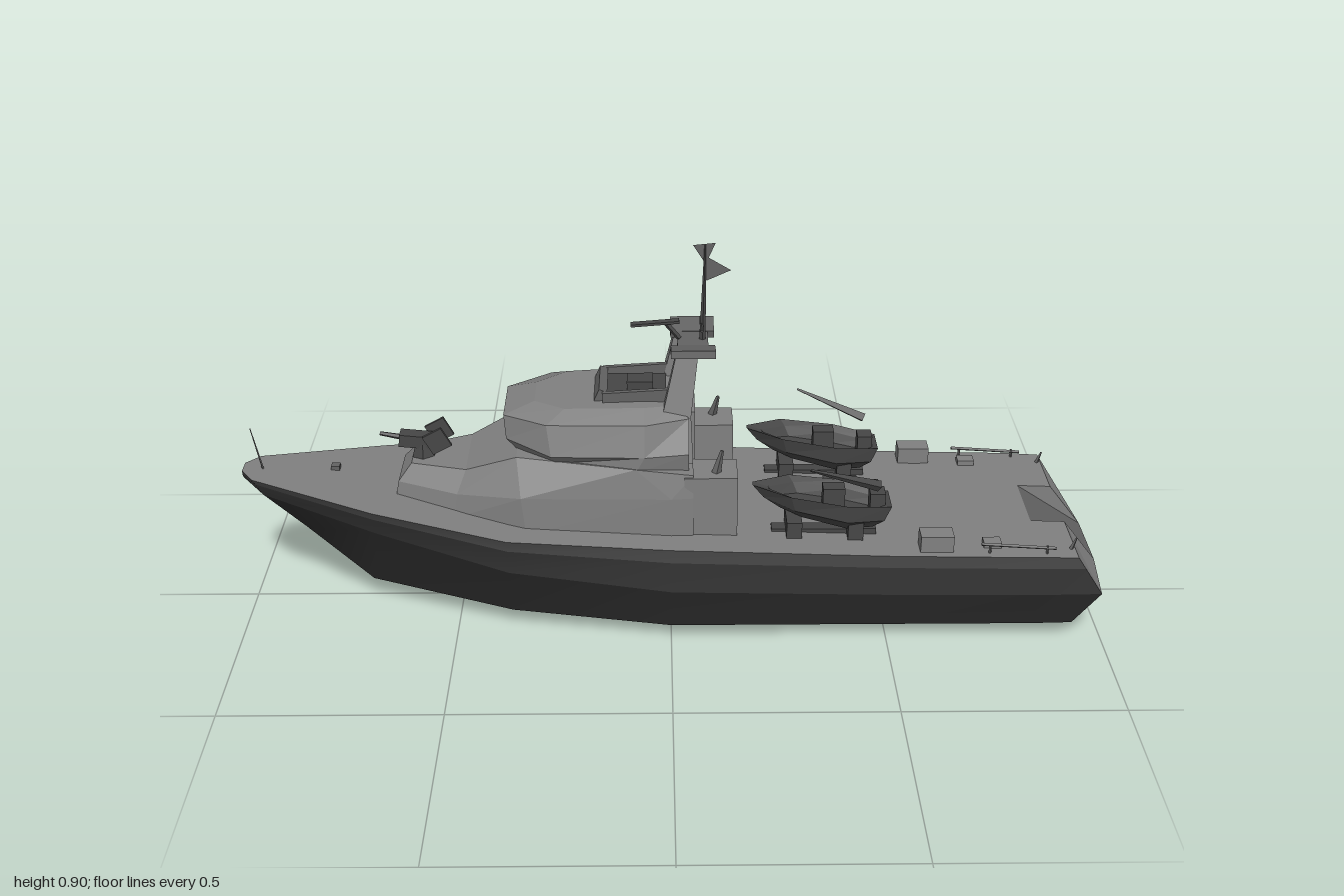
import * as THREE from 'three';
import { toCreasedNormals } from 'three/addons/utils/BufferGeometryUtils.js';

const paint = (color, flatShading = true) =>
  new THREE.MeshStandardMaterial({ color, flatShading, side: THREE.DoubleSide });
const grey = paint(0x808080), mid = paint(0x636363), dark = paint(0x464646), black = paint(0x2c2c2c);

// Polygons given as lists of corners
function faces(list) {
  const pos = [];
  for (const f of list)
    for (let i = 1; i < f.length - 1; i++) pos.push(...f[0], ...f[i], ...f[i + 1]);
  const g = new THREE.BufferGeometry();
  g.setAttribute('position', new THREE.Float32BufferAttribute(pos, 3));
  g.computeVertexNormals();
  return g;
}

const flip = ([x, y, z]) => [x, y, -z];
const mirrored = list => [...list, ...list.map(f => f.map(flip).reverse())];

// Skin between mirrored outlines, each a half outline from bow to stern
function skin(lines, { cap = true, aft = true } = {}) {
  const out = [];
  for (let k = 0; k < lines.length - 1; k++) {
    const a = lines[k], b = lines[k + 1], e = a.length - 1;
    for (let i = 0; i < e; i++) out.push(...mirrored([[a[i], a[i + 1], b[i + 1], b[i]]]));
    out.push([flip(a[0]), a[0], b[0], flip(b[0])]);
    if (aft) out.push([a[e], flip(a[e]), flip(b[e]), b[e]]);
  }
  const t = lines[lines.length - 1];
  if (cap) for (let i = 0; i < t.length - 1; i++) out.push([t[i], t[i + 1], flip(t[i + 1]), flip(t[i])]);
  return out;
}

export function createModel() {
  const root = new THREE.Group();
  const add = (name, geo, mat = grey, parent = root) => {
    const m = new THREE.Mesh(geo, mat);
    m.name = name;
    parent.add(m);
    return m;
  };
  const box = (name, w, h, d, x, y, z, mat, parent) => {
    const m = add(name, new THREE.BoxGeometry(w, h, d), mat, parent);
    m.position.set(x, y, z);
    return m;
  };
  // Tapered bar between two points
  const strut = (name, a, b, r0, r1, mat, sides = 4, parent = root) => {
    const p = new THREE.Vector3(...a), d = new THREE.Vector3(...b).sub(p);
    const m = add(name, new THREE.CylinderGeometry(r1, r0, d.length(), sides), mat, parent);
    m.position.copy(p).addScaledVector(d, 0.5);
    m.quaternion.setFromUnitVectors(new THREE.Vector3(0, 1, 0), d.normalize());
    return m;
  };

  // Hull, described by its lengthwise lines
  const keel = [[-1, .325, 0], [-.86, .2, 0], [-.72, .06, 0], [-.37, .03, 0], [-.05, 0, 0], [.5, .018, 0], [.84, .033, 0], [.93, .037, 0]];
  const chine = [[-1, .33, .012], [-.86, .2, .022], [-.71, .065, .035], [-.37, .05, .155], [0, .04, .21], [.5, .04, .21], [.84, .04, .21], [.93, .042, .21]];
  const knuckle = [[-1, .34, .018], [-.95, .3, .045], [-.68, .24, .125], [-.37, .19, .22], [0, .15, .243], [.5, .14, .243], [.84, .137, .243], [.985, .137, .24]];
  const rail = [[-1, .35, .02], [-.97, .347, .06], [-.68, .318, .17], [-.37, .288, .25], [0, .268, .256], [.5, .25, .256], [.84, .243, .254], [.92, .24, .25]];
  const strake = rail.map((p, i) => p.map((v, k) => v * .7 + knuckle[i][k] * .3));
  const open = { cap: false, aft: false };
  const plate = (name, list, color) => add(name, toCreasedNormals(faces(list), 0.7), paint(color, false));
  plate('hullBottom', skin([keel, chine], { cap: false }), 0x2a2626);
  plate('hullSide', skin([chine, knuckle], { cap: false }), 0x2c2c2c);
  plate('hullTopside', skin([knuckle, strake], open), 0x383838);
  plate('sheerStrake', skin([strake, rail], open), 0x4c4c4c);

  // Deck and transom, with a stern ramp cut between two quarters
  add('deck', faces([...skin([rail.slice(0, 7)]), ...mirrored([
    [[.84, .243, .085], [.84, .243, .254], [.92, .24, .25], [.92, .24, .085]],
    [[.92, .24, .085], [.92, .24, .25], [.985, .137, .24], [1, .137, .085]],
    [[.84, .243, .085], [.92, .24, .085], [1, .137, .085]],
  ])]));
  add('sternRamp', faces([[[.84, .243, -.085], [.84, .243, .085], [1, .137, .085], [1, .137, -.085]]]), mid);
  add('transomLip', faces([[[.985, .137, -.24], [1, .137, -.085], [1, .137, .085], [.985, .137, .24]]]), black);

  // Deckhouse and bridge
  add('deckhouse', faces(skin([
    [[-.64, .29, .07], [-.5, .28, .125], [-.33, .27, .185], [0, .26, .19], [.05, .26, .185]],
    [[-.63, .345, .065], [-.49, .34, .12], [-.34, .36, .18], [0, .36, .187], [.05, .36, .182]],
    [[-.6, .382, .045], [-.47, .388, .09], [-.35, .44, .13], [-.08, .43, .175], [.05, .415, .175]],
  ])));
  add('bridge', faces(skin([
    [[-.35, .435, .08], [-.26, .43, .14], [-.08, .42, .173], [.04, .41, .15]],
    [[-.375, .465, .085], [-.27, .455, .16], [-.06, .46, .176], [.04, .46, .16]],
    [[-.38, .52, .075], [-.28, .525, .14], [-.06, .53, .155], [.04, .53, .12]],
    [[-.31, .543, .05], [-.24, .547, .1], [-.06, .553, .11], [.02, .55, .09]],
  ])));
  box('aftBulkhead', .03, .27, .17, .04, .395, 0);

  // Coaming around the open cockpit
  box('cockpitScreen', .02, .035, .13, -.16, .558, 0, mid).rotation.z = -.4;
  box('cockpitFloor', .14, .004, .13, -.08, .555, 0, dark);
  box('cockpitConsole', .06, .03, .05, -.07, .562, 0, dark);
  for (const s of [1, -1]) {
    box('cockpitSide', .15, .03, .012, -.08, .562, s * .07, mid).rotation.z = .06;
    box('aftLocker', .12, .15, .095, .09, .335, s * .133);
    strut('aftPost', [.1, .4, s * .15], [.115, .46, s * .14], .012, .004, mid);
  }

  // Mast frame, pole, radar and pennant
  for (const s of [1, -1]) {
    const leg = add('mastLeg', faces(skin([
      [[-.03, .42, .035], [.05, .42, .035]],
      [[-.02, .53, .026], [.045, .53, .026]],
      [[.01, .665, .012], [.06, .665, .012]],
    ])));
    leg.rotation.x = s * -.1;
    leg.position.set(0, .002, s * .142);
    box('mastWing', .1, .018, .06, .05, .672, s * .07, mid).rotation.x = s * -.2;
  }
  box('mastCrossbeam', .07, .012, .12, .05, .668, 0, mid);
  strut('mastPole', [.072, .66, 0], [.077, .9, 0], .008, .002, dark, 5);
  box('radarBar', .11, .006, .018, -.035, .713, 0, dark).rotation.z = .08;
  strut('radarArm', [.02, .675, 0], [-.01, .712, 0], .006, .006, dark);
  strut('yardArm', [.07, .71, -.042], [.07, .71, .042], .004, .004, dark);
  const pennant = new THREE.Shape([[.05, .9], [.1, .905], [.085, .87], [.135, .84], [.08, .815], [.075, .86]].map(p => new THREE.Vector2(...p)));
  add('pennant', new THREE.ShapeGeometry(pennant), mid);

  // Bow gun
  const gun = new THREE.Group();
  gun.name = 'bowGun';
  root.add(gun);
  strut('gunMount', [-.575, .375, 0], [-.575, .415, 0], .032, .02, dark, 6, gun);
  box('gunBody', .1, .03, .035, -.58, .42, 0, dark, gun).rotation.z = -.1;
  strut('gunBarrel', [-.6, .422, 0], [-.675, .437, 0], .008, .005, dark, 5, gun);
  for (const s of [1, -1]) box('gunShield', .05, .05, .008, -.54, .43, s * .028, dark, gun).rotation.z = .5;

  for (const s of [1, -1]) {
    // Tender on its cradle under a davit arm
    const tender = new THREE.Group();
    tender.name = 'tender';
    tender.position.z = s * .143;
    root.add(tender);
    add('tenderHull', faces(skin([
      [[.25, .315, .003], [.3, .295, .012], [.4, .275, .03], [.46, .275, .022]],
      [[.21, .345, .006], [.28, .33, .046], [.4, .305, .058], [.485, .298, .036]],
      [[.185, .377, .008], [.27, .37, .055], [.4, .35, .064], [.5, .335, .038]],
      [[.22, .367, .004], [.28, .358, .04], [.4, .337, .048], [.475, .325, .028]],
      [[.24, .345, .003], [.29, .335, .03], [.4, .312, .038], [.46, .305, .022]],
    ])), dark, tender);
    box('tenderConsole', .05, .05, .035, .37, .345, 0, dark, tender);
    box('tenderEngine', .035, .055, .04, .47, .33, 0, dark, tender);
    for (const x of [.28, .42]) box('cradle', .035, .05, .09, x, .272, 0, dark, tender);
    box('cradleRail', .24, .015, .03, .35, .258, 0, dark, tender);
    strut('davitArm', [.31, .445, s * .066], [.47, .385, s * .03], .003, .013, dark, 4, tender);

    // Deck lockers and stern rails
    box('deckLocker', .075, .04, .045, .6, .268, s * .215);
    box('smallLocker', .04, .016, .03, .73, .25, s * .2);
    strut('sternRail', [.7, .268, s * .235], [.87, .256, s * .235], .004, .004, mid);
    for (const x of [.72, .85]) strut('railPost', [x, .24, s * .235], [x, .263, s * .235], .003, .003, mid);
    strut('sternStaff', [.91, .24, s * .21], [.92, .268, s * .21], .005, .002, mid);

    // Propeller and rudder
    strut('propellerHub', [.88, .05, s * .09], [.965, .055, s * .09], .014, .008, black, 6);
    for (let i = 0; i < 3; i++) {
      const a = i * Math.PI * 2 / 3;
      box('propellerBlade', .012, .04, .022, .95, .055 + .022 * Math.cos(a), s * .09 + .022 * Math.sin(a), black).rotation.x = a;
    }
    box('rudder', .035, .065, .01, .915, .043, s * .135, black);
  }

  // Aft gun between the tenders
  strut('aftGunMount', [.4, .245, 0], [.4, .285, 0], .04, .022, dark, 6);
  box('aftGunBody', .08, .03, .035, .4, .295, 0, dark);
  strut('aftGunBarrel', [.42, .297, 0], [.49, .305, 0], .007, .004, dark, 5);

  // Bow fittings
  strut('jackstaff', [-.955, .345, 0], [-.975, .45, 0], .0025, .001, mid);
  box('anchorWinch', .02, .012, .02, -.79, .333, -.03, mid);
  return root;
}
